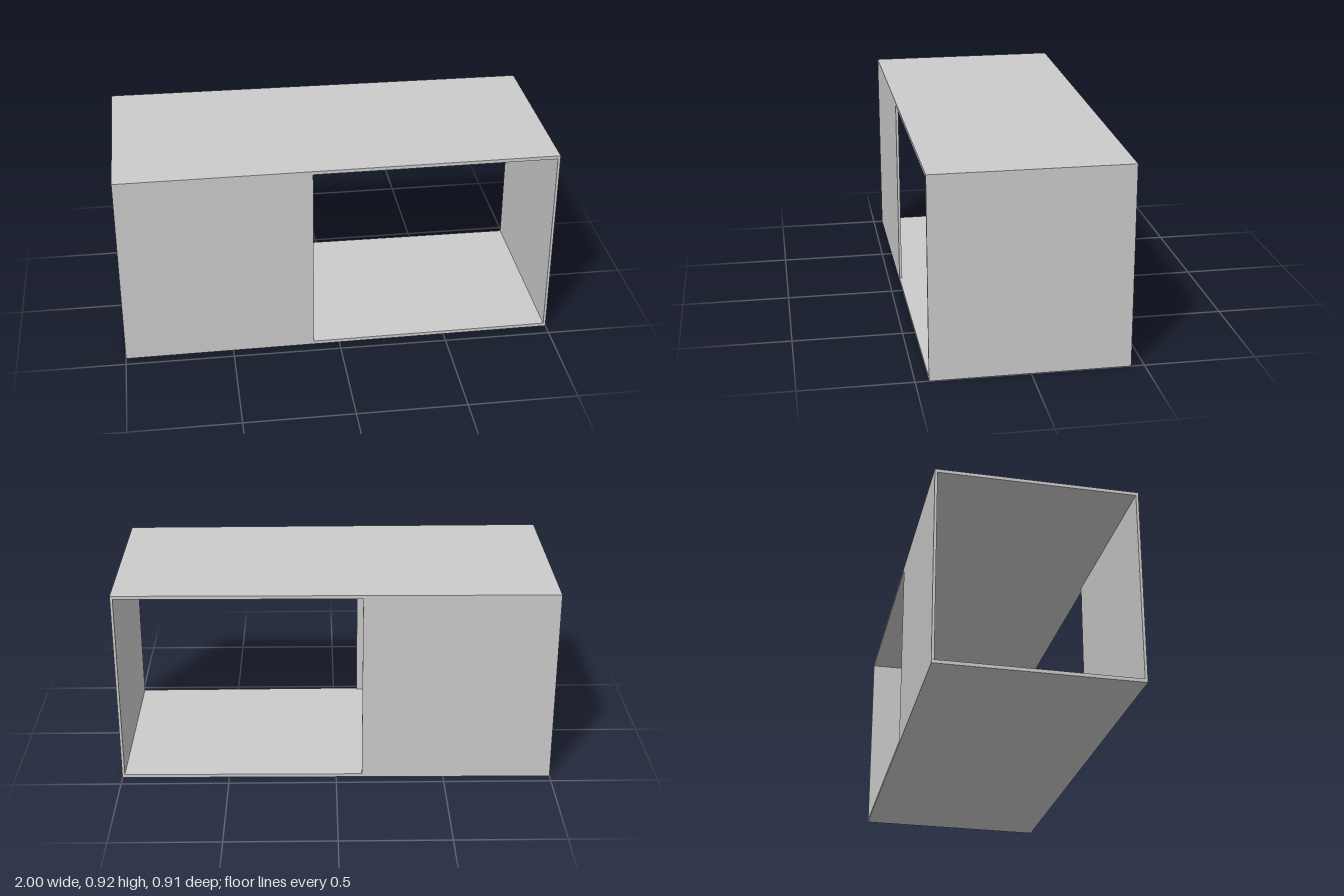
import * as THREE from 'three';

const H = 0.92, T = 0.016, W = 0.012; // height, slab thickness, wall thickness
const OPEN_X = -0.12;                 // where the side openings begin

// Half depth narrows slightly towards the closed end
const halfDepth = (x) => 0.448 - 0.007 * x;

export function createModel() {
  const group = new THREE.Group();
  const material = new THREE.MeshStandardMaterial({ color: 0xcccccc, flatShading: true });

  // Box between two corners; z is measured from the tapered side, as side * halfDepth - inset
  const panel = (name, x0, x1, y0, y1, zBack, zFront) => {
    const geo = new THREE.BoxGeometry(x1 - x0, y1 - y0, 1);
    geo.translate((x0 + x1) / 2, (y0 + y1) / 2, 0);
    const p = geo.attributes.position;
    for (let i = 0; i < p.count; i++) {
      const edge = p.getZ(i) > 0 ? zFront : zBack;
      p.setZ(i, edge.side * (halfDepth(p.getX(i)) - edge.inset));
    }
    geo.computeVertexNormals();
    const mesh = new THREE.Mesh(geo, material);
    mesh.name = name;
    group.add(mesh);
  };

  const back = { side: -1, inset: 0 }, front = { side: 1, inset: 0 };

  // Floor and roof run the full length
  panel('floor', -1, 1, 0, T, back, front);
  panel('roof', -1, 1, H - T, H, back, front);

  // Closed end wall; the opposite end is open
  panel('endWall', 1 - W, 1, T, H - T, back, front);

  // Half-length side walls, leaving a large opening on both sides
  panel('frontWall', -1, OPEN_X, T, H - T, { side: 1, inset: W }, front);
  panel('backWall', -1, OPEN_X, T, H - T, back, { side: -1, inset: W });

  return group;
}
